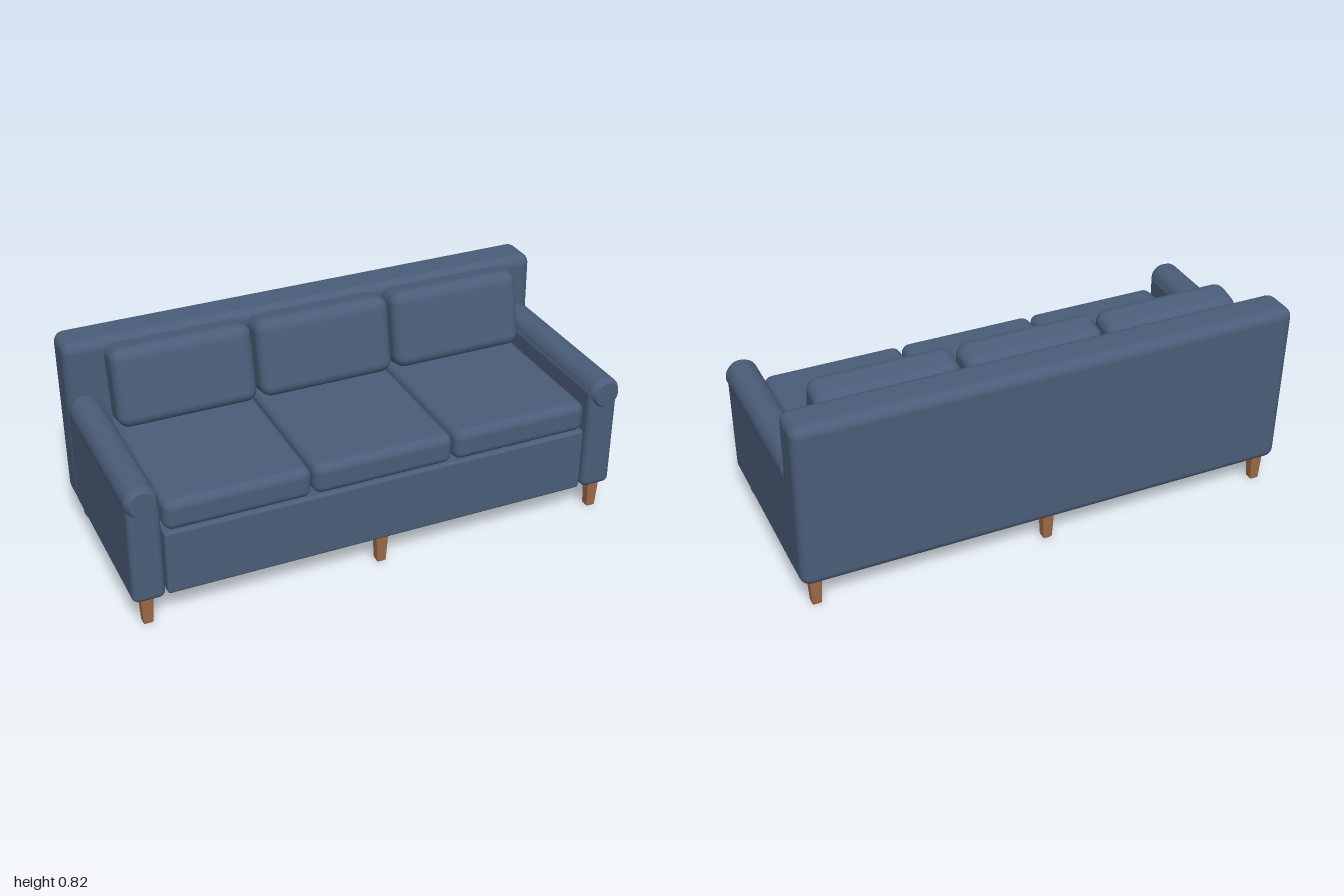
import * as THREE from 'three';
import { RoundedBoxGeometry } from 'three/addons/geometries/RoundedBoxGeometry.js';

const fabric = new THREE.MeshStandardMaterial({ color: 0x4a5d78 });
fabric.name = 'blue fabric';
const wood = new THREE.MeshStandardMaterial({ color: 0x9a6846 });
wood.name = 'brown wood';

export function createModel() {
  const sofa = new THREE.Group();
  sofa.name = 'sofa';

  function add(name, geometry, material, x, y, z) {
    const mesh = new THREE.Mesh(geometry, material);
    mesh.name = name;
    mesh.position.set(x, y, z);
    sofa.add(mesh);
    return mesh;
  }

  // Rounded block given by its limits on each axis
  function block(name, [x0, x1], [y0, y1], [z0, z1], radius) {
    const geometry = new RoundedBoxGeometry(x1 - x0, y1 - y0, z1 - z0, 4, radius);
    return add(name, geometry, fabric, (x0 + x1) / 2, (y0 + y1) / 2, (z0 + z1) / 2);
  }

  // Base between the arms
  block('base', [-0.857, 0.857], [0.118, 0.383], [-0.3, 0.422], 0.012);

  // Backrest, leaning and slightly thicker towards the top
  const back = block('backrest', [-0.993, 0.993], [0.115, 0.81], [-0.428, -0.267], 0.04);
  const p = back.geometry.attributes.position;
  for (let i = 0; i < p.count; i++) {
    const t = p.getY(i) / 0.3475;
    p.setZ(i, p.getZ(i) * (1 + 0.04 * t) - 0.0095 * t);
  }

  // Three seat cushions with three leaning back cushions
  for (const i of [-1, 0, 1]) {
    const x = i * 0.571;
    block('seatCushion', [x - 0.282, x + 0.282], [0.385, 0.508], [-0.25, 0.427], 0.035);
    const cushion = new RoundedBoxGeometry(0.555, 0.312, 0.152, 4, 0.047);
    add('backCushion', cushion, fabric, x, 0.661, -0.179).rotation.x = -0.2;
  }

  // Arms: a side panel topped by a roll with bevelled ends
  const rollProfile = [
    [0, -0.285], [0.045, -0.285], [0.06, -0.272], [0.063, -0.262], [0.063, -0.26],
    [0.063, 0.417], [0.063, 0.42], [0.05, 0.442], [0.049, 0.443], [0.049, 0.443], [0, 0.443],
  ].map(([r, z]) => new THREE.Vector2(r, z));
  const roll = new THREE.LatheGeometry(rollProfile, 32).rotateX(Math.PI / 2);
  for (const side of [-1, 1]) {
    const a = side * 0.866, b = side * 0.99;
    block('armPanel', [Math.min(a, b), Math.max(a, b)], [0.116, 0.56], [-0.32, 0.433], 0.025);
    add('armRoll', roll, fabric, side * 0.932, 0.537, 0);
  }

  // Six tapered legs with softened corners
  const leg = new RoundedBoxGeometry(0.05, 0.13, 0.05, 2, 0.008);
  const q = leg.attributes.position;
  for (let i = 0; i < q.count; i++) {
    const s = 0.87 + 0.13 * (q.getY(i) / 0.065);
    q.setX(i, q.getX(i) * s);
    q.setZ(i, q.getZ(i) * s);
  }
  for (const x of [-0.933, 0, 0.933])
    for (const z of [0.387, -0.358]) add('leg', leg, wood, x, 0.065, z);

  return sofa;
}
